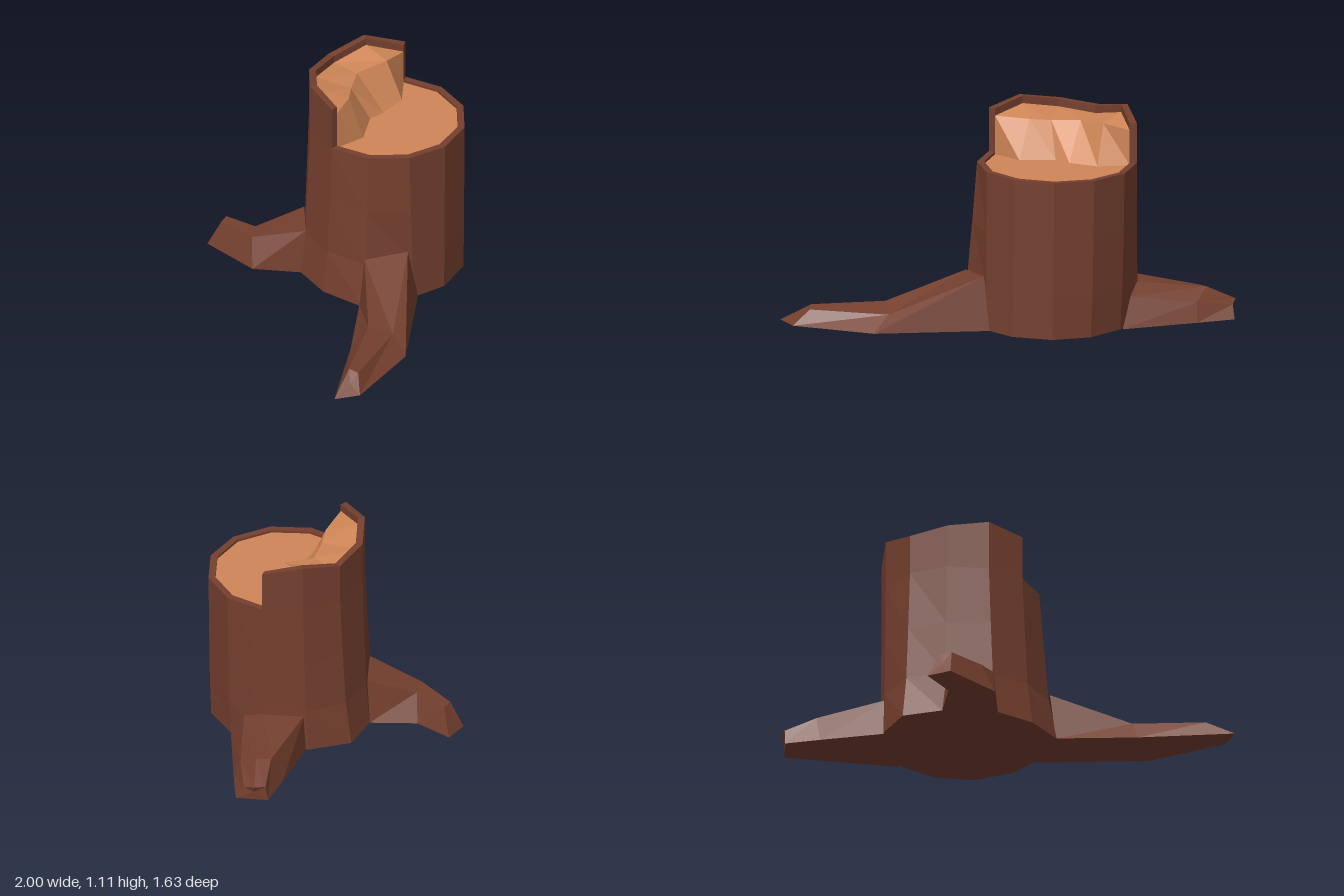
import * as THREE from 'three';

const bark = new THREE.MeshStandardMaterial({ color: 0x743f2e, flatShading: true, side: THREE.DoubleSide });
const wood = new THREE.MeshStandardMaterial({ color: 0xcf8657, flatShading: true, side: THREE.DoubleSide });

// Joins rows of [x, y, z] points into a faceted skin
function loft(name, material, rows, closed = false) {
  const pos = [];
  const n = rows[0].length;
  for (let j = 0; j + 1 < rows.length; j++) {
    for (let i = 0; i < (closed ? n : n - 1); i++) {
      const k = (i + 1) % n;
      const a = rows[j][i], b = rows[j + 1][i], c = rows[j + 1][k], d = rows[j][k];
      pos.push(...a, ...b, ...c, ...a, ...c, ...d);
    }
  }
  const geometry = new THREE.BufferGeometry();
  geometry.setAttribute('position', new THREE.Float32BufferAttribute(pos, 3));
  geometry.computeVertexNormals();
  const mesh = new THREE.Mesh(geometry, material);
  mesh.name = name;
  return mesh;
}

// Twelve-sided trunk outline: starts at the right side (-x) and runs round the back
const SIDES = 12, CX = 0.212, CZ = -0.03, OUTER = 0.415, INNER = 0.378;
const STEP = 0.845, FLOOR = 0.832;
const ringPoint = (r, k, y) => {
  const a = (k / SIDES) * Math.PI * 2;
  return [CX - r * Math.cos(a), y, CZ - r * Math.sin(a)];
};
const ring = (r, y) => Array.from({ length: SIDES }, (_, k) => ringPoint(r, k, y));
const centre = (y) => Array.from({ length: SIDES }, () => [CX, y, CZ]);

// Uneven outline where the trunk meets the ground
const foot = [
  [-0.27, -0.03], [-0.21, -0.25], [0, -0.44], [0.2, -0.52], [0.41, -0.42], [0.57, -0.25],
  [0.6, -0.03], [0.55, 0.18], [0.41, 0.33], [0.2, 0.39], [0.02, 0.35], [-0.24, 0.22],
];
const flareRing = (t, y) => foot.map(([x, z], k) => {
  const p = ringPoint(OUTER, k, y);
  return [x + (p[0] - x) * t, y, z + (p[2] - z) * t];
});

// Rim heights of the tall back part, from the -x side round to the +x side
const rimHeights = [1.08, 1.11, 1.08, 1.06, 1.105, 1.06];
const arc = (r, yOf) => rimHeights.map((h, k) => ringPoint(r, k, yOf(h)));

// Root sections run outward from the trunk; each goes over the top from side to side
const roots = {
  frontRoot: [
    [[-0.24, 0, 0.2], [-0.2, 0.26, 0.2], [-0.01, 0.28, 0.33], [0.04, 0, 0.355]],
    [[-0.58, 0, 0.46], [-0.5, 0.12, 0.51], [-0.42, 0.08, 0.61], [-0.44, 0, 0.72]],
    [[-1, 0, 0.74], [-0.84, 0.095, 0.695], [-0.82, 0.08, 0.74], [-0.88, 0, 0.81]],
  ],
  sideRoot: [
    [[0.61, 0, -0.04], [0.6, 0.155, -0.13], [0.57, 0.205, -0.24], [0.41, 0.2, -0.39], [0.4, 0, -0.4]],
    [[0.87, 0, -0.35], [0.85, 0.1, -0.38], [0.84, 0.16, -0.49], [0.77, 0.15, -0.53], [0.72, 0, -0.56]],
    [[1, 0, -0.51], [0.97, 0.07, -0.54], [0.95, 0.085, -0.6], [0.9, 0.08, -0.63], [0.89, 0, -0.64]],
  ],
  backRoot: [
    [[0, 0, -0.44], [-0.01, 0.24, -0.41], [-0.18, 0.24, -0.24], [-0.21, 0, -0.24]],
    [[-0.18, 0, -0.61], [-0.22, 0.15, -0.56], [-0.31, 0.15, -0.5], [-0.36, 0, -0.45]],
    [[-0.21, 0, -0.82], [-0.24, 0.14, -0.75], [-0.3, 0.14, -0.73], [-0.34, 0, -0.79]],
  ],
};

export function createModel() {
  const group = new THREE.Group();
  group.name = 'treeStump';

  // Bark shell with its underside and low rim
  group.add(loft('trunk', bark, [
    centre(0), flareRing(0, 0), flareRing(0.5, 0.23), flareRing(0.75, 0.52),
    ring(OUTER, STEP), ring(INNER, STEP), ring(INNER, FLOOR),
  ], true));

  // Tall back part of the bark and its two cut ends
  const outerLow = arc(OUTER, () => STEP), outerTop = arc(OUTER, (h) => h);
  const innerLow = arc(INNER, () => FLOOR), innerTop = arc(INNER, (h) => h);
  group.add(loft('backBark', bark, [outerLow, outerTop, innerTop, innerLow]));
  for (const k of [0, 5]) {
    const o = [outerLow[k], outerTop[k]], i = [innerLow[k], innerTop[k]];
    group.add(loft('barkEnd', bark, k === 0 ? [i, o] : [o, i]));
  }

  // Sawn front surface
  group.add(loft('lowCut', wood, [ring(INNER, FLOOR), centre(FLOOR)], true));

  // Upper cut and the splintered slope down to the lower one
  const back = arc(INNER, (h) => h - 0.04);
  const top = [back[0], [0, 1.03, -0.1], [0.09, 1.02, -0.17], [0.22, 1.02, -0.25], [0.39, 1.04, -0.2], back[5]];
  const bottom = [innerLow[0], [0, FLOOR, 0], [0.16, FLOOR, -0.1], [0.25, FLOOR, -0.09], [0.41, FLOOR, -0.11], innerLow[5]];
  group.add(loft('upperCut', wood, [back, top]));
  group.add(loft('splinteredFace', wood, [top, bottom]));

  // Roots, closed underneath and at the tip
  for (const [name, sections] of Object.entries(roots)) {
    const end = sections[sections.length - 1];
    const mid = [0, 1, 2].map((c) => end.reduce((sum, p) => sum + p[c], 0) / end.length);
    group.add(loft(name, bark, [...sections, end.map(() => mid)], true));
  }
  return group;
}
